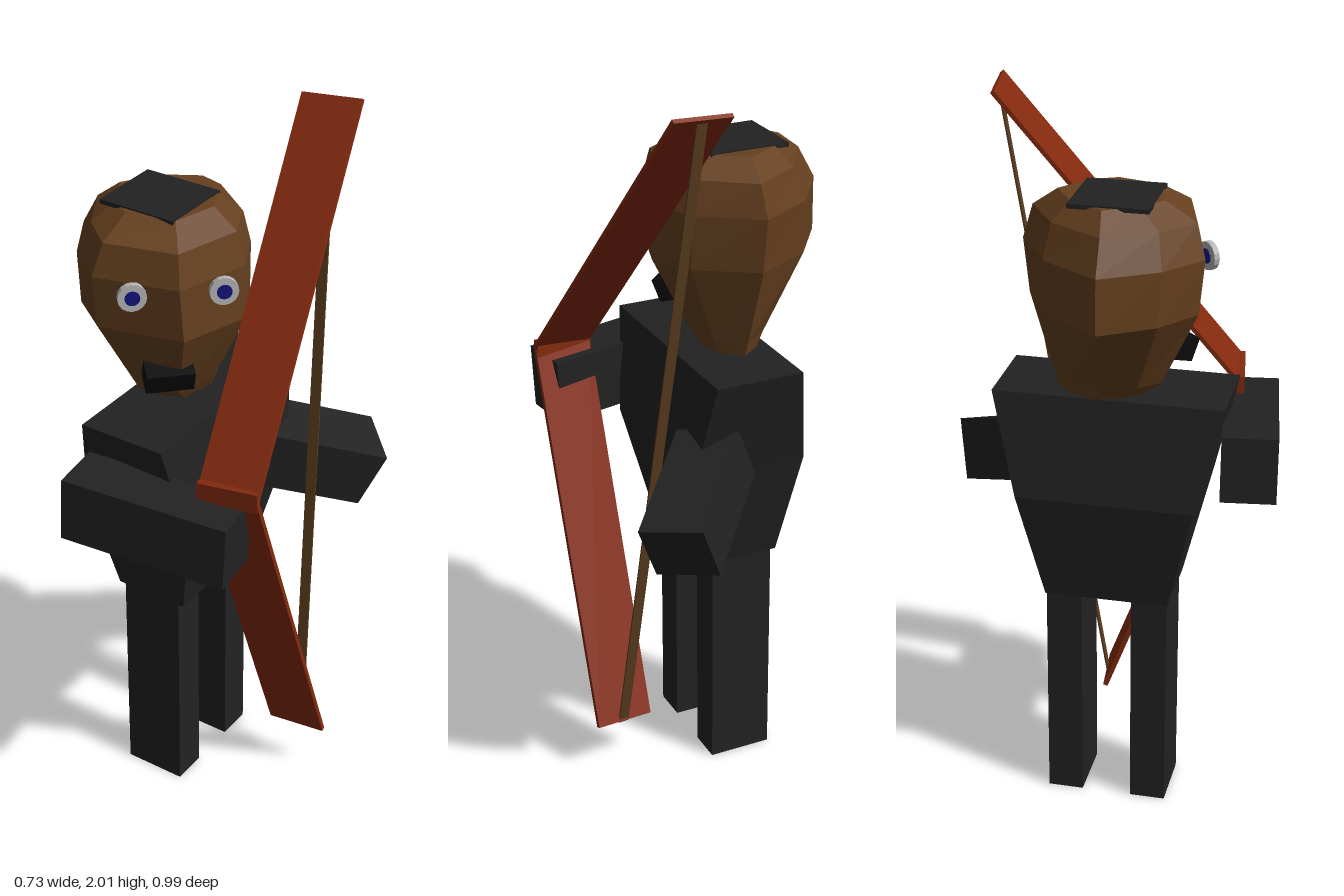
import * as THREE from 'three';

const V = (a) => new THREE.Vector3(...a);
const mat = (color) => new THREE.MeshStandardMaterial({ color, flatShading: true });
const cloth = mat(0x222222), skin = mat(0x66401f), wood = mat(0x842a0e);
const cord = mat(0x5a3c1e), black = mat(0x0a0a0a), white = mat(0xb4b4b4), blue = mat(0x14147a);

function add(parent, name, geometry, material) {
  const mesh = new THREE.Mesh(geometry, material);
  mesh.name = name;
  parent.add(mesh);
  return mesh;
}

// Box from its centre and three edge vectors
function block(center, u, v, w) {
  const m = new THREE.Matrix4().makeBasis(V(u), V(v), V(w));
  if (m.determinant() < 0) m.makeBasis(V(u), V(v), V(w).negate());
  m.setPosition(V(center));
  const g = new THREE.BoxGeometry(1, 1, 1).applyMatrix4(m);
  g.computeVertexNormals();
  return g;
}

// Thin strip between two edges a-b and c-d, given as [left, right] points
function strip([a, b], [c, d], thickness) {
  const [A, B, C, D] = [a, b, c, d].map(V);
  const u = B.clone().sub(A).add(D).sub(C).multiplyScalar(0.5);
  const v = C.clone().add(D).sub(A).sub(B).multiplyScalar(0.5);
  const w = u.clone().cross(v).setLength(thickness);
  const mid = A.add(B).add(C).add(D).multiplyScalar(0.25);
  return block(mid.toArray(), u.toArray(), v.toArray(), w.toArray());
}

// Faceted solid through rings at rising heights; outline points run from 0 to 1 within
// each ring's bounds [y, xMin, xMax, zMin, zMax]
function loft(outline, rings) {
  const pts = rings.map(([y, x0, x1, z0, z1]) =>
    outline.map(([s, t]) => [x0 + s * (x1 - x0), y, z0 + t * (z1 - z0)]));
  const n = outline.length, pos = [], top = pts.length - 1;
  const tri = (...p) => p.forEach((q) => pos.push(...q));
  for (let i = 0; i < n; i++) {
    const j = (i + 1) % n;
    for (let k = 0; k < top; k++) {
      tri(pts[k][i], pts[k + 1][i], pts[k][j]);
      tri(pts[k][j], pts[k + 1][i], pts[k + 1][j]);
    }
    if (i > 0 && j > 0) {
      tri(pts[top][0], pts[top][j], pts[top][i]);
      tri(pts[0][0], pts[0][i], pts[0][j]);
    }
  }
  const g = new THREE.BufferGeometry();
  g.setAttribute('position', new THREE.Float32BufferAttribute(pos, 3));
  g.computeVertexNormals();
  return g;
}

export function createModel() {
  const model = new THREE.Group();
  model.name = 'archer';

  // Body: tapered torso and two straight legs
  add(model, 'torso', loft([[1, 0], [1, 1], [0, 1], [0, 0]], [
    [0.64, -0.165, 0.05, -0.14, 0.205],
    [0.95, -0.21, 0.12, -0.21, 0.28],
    [1.24, -0.165, 0.085, -0.28, 0.35],
  ]), cloth);
  for (const [name, z] of [['frontLeg', 0.15], ['backLeg', -0.09]])
    add(model, name, block([-0.06, 0.32, z], [0.18, 0, 0], [0, 0.65, 0], [0, 0, 0.1]), cloth);

  // Arms: one across the front holding the bow, one drawn back
  add(model, 'bowArm', block([0.086, 1.053, 0.381], [0.462, -0.022, -0.07], [0.009, 0.185, 0], [0.02, 0, 0.15]), cloth);
  add(model, 'drawArm', block([0.145, 0.932, -0.287], [0.23, -0.13, -0.255], [0.067, 0.16, -0.035], [0.125, -0.03, 0.125]), cloth);

  // Head turned toward the left front corner
  const head = new THREE.Group();
  head.name = 'head';
  model.add(head);
  const outline = [[0.13, 0.02], [0.07, 0.23], [-0.16, 0.29], [-0.275, 0.2], [-0.365, 0.05],
    [-0.255, -0.115], [-0.09, -0.21], [0.07, -0.1]].map(([x, z]) => [(x + 0.365) / 0.495, (z + 0.21) / 0.5]);
  add(head, 'skull', loft(outline, [
    [1.24, -0.17, 0.0, -0.12, 0.12],
    [1.28, -0.2, 0.02, -0.13, 0.17],
    [1.5, -0.365, 0.13, -0.19, 0.275],
    [1.65, -0.365, 0.125, -0.205, 0.29],
    [1.74, -0.315, 0.1, -0.18, 0.265],
    [1.79, -0.25, 0.03, -0.11, 0.18],
  ]), skin);
  add(head, 'hairPatch', block([-0.117, 1.788, 0.052], [0.226, 0, 0], [0, 0.012, 0], [0, 0, 0.212]), cloth);
  add(head, 'mouth', block([-0.01, 1.36, 0.176], [0.09, 0, -0.09], [0.018, 0.06, 0.018], [0.05, -0.02, 0.05]), black);

  // Eyes: flat discs with smaller pupils
  const disc = (r, depth) => new THREE.CylinderGeometry(r, r, depth, 16).rotateX(Math.PI / 2);
  for (const [name, x, z] of [['leftEye', 0.125, 0.12], ['rightEye', -0.047, 0.278]]) {
    const eye = new THREE.Group();
    eye.name = name;
    eye.position.set(x, 1.622, z);
    eye.rotation.y = Math.PI / 4;
    add(eye, 'eyeWhite', disc(0.038, 0.016), white);
    add(eye, 'pupil', disc(0.02, 0.022), blue);
    head.add(eye);
  }

  // Bow: two flat limbs meeting at the hand, and a string between the tips
  const bow = new THREE.Group();
  bow.name = 'bow';
  model.add(bow);
  add(bow, 'upperLimb', strip([[0.19, 1.165, 0.335], [0.36, 1.18, 0.31]],
    [[0.07, 1.985, -0.33], [0.24, 1.995, -0.345]], 0.012), wood);
  add(bow, 'lowerLimb', strip([[0.19, 0.14, -0.055], [0.355, 0.143, -0.065]],
    [[0.19, 1.16, 0.335], [0.36, 1.17, 0.31]], 0.014), wood);
  add(bow, 'bowGrip', block([0.273, 1.165, 0.322], [0.168, 0.01, -0.025], [0, 0.055, 0], [0.003, 0, 0.02]), wood);
  add(bow, 'bowString', strip([[0.26, 0.14, -0.06], [0.29, 0.14, -0.062]],
    [[0.14, 1.98, -0.33], [0.17, 1.98, -0.333]], 0.005), cord);
  return model;
}
